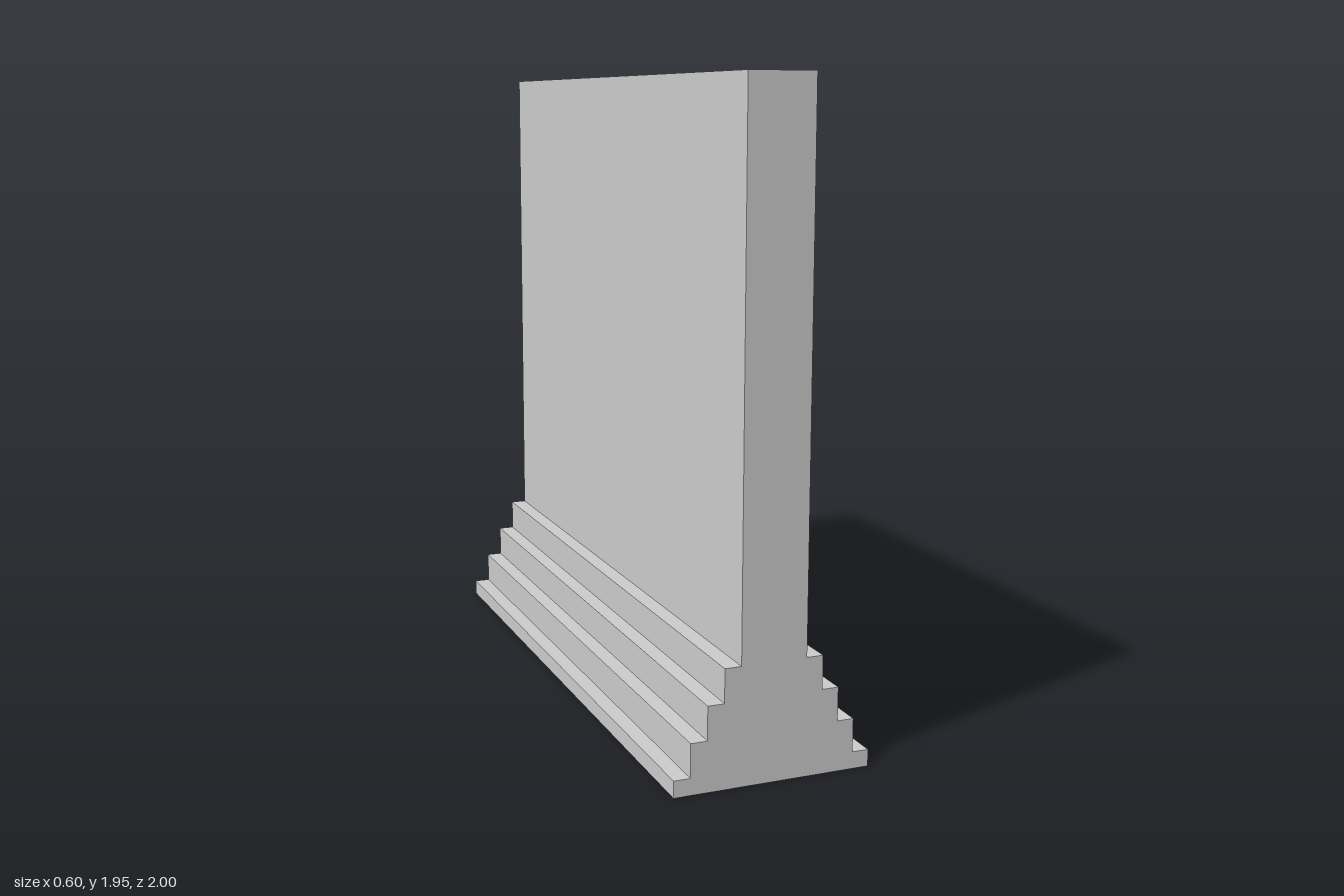
import * as THREE from 'three';

// Half-width and top height of each level, from the footing up to the wall
const LEVELS = [[0.3, 0.05], [0.25, 0.15], [0.2, 0.25], [0.15, 0.35], [0.1, 1.95]];
const LENGTH = 2;

export function createModel() {
  const group = new THREE.Group();
  group.name = 'steppedWall';

  // Right half of the stepped cross-section, then its mirror image
  const right = [];
  let base = 0;
  for (const [halfWidth, top] of LEVELS) {
    right.push(new THREE.Vector2(halfWidth, base), new THREE.Vector2(halfWidth, top));
    base = top;
  }
  const left = right.map((p) => new THREE.Vector2(-p.x, p.y)).reverse();

  // One solid wall with its stepped footing, run along z
  const geometry = new THREE.ExtrudeGeometry(new THREE.Shape([...right, ...left]), {
    depth: LENGTH,
    bevelEnabled: false,
  });
  geometry.translate(0, 0, -LENGTH / 2);

  const material = new THREE.MeshStandardMaterial({ color: 0xcccccc, flatShading: true });
  const wall = new THREE.Mesh(geometry, material);
  wall.name = 'wallWithSteppedFooting';
  group.add(wall);
  return group;
}
